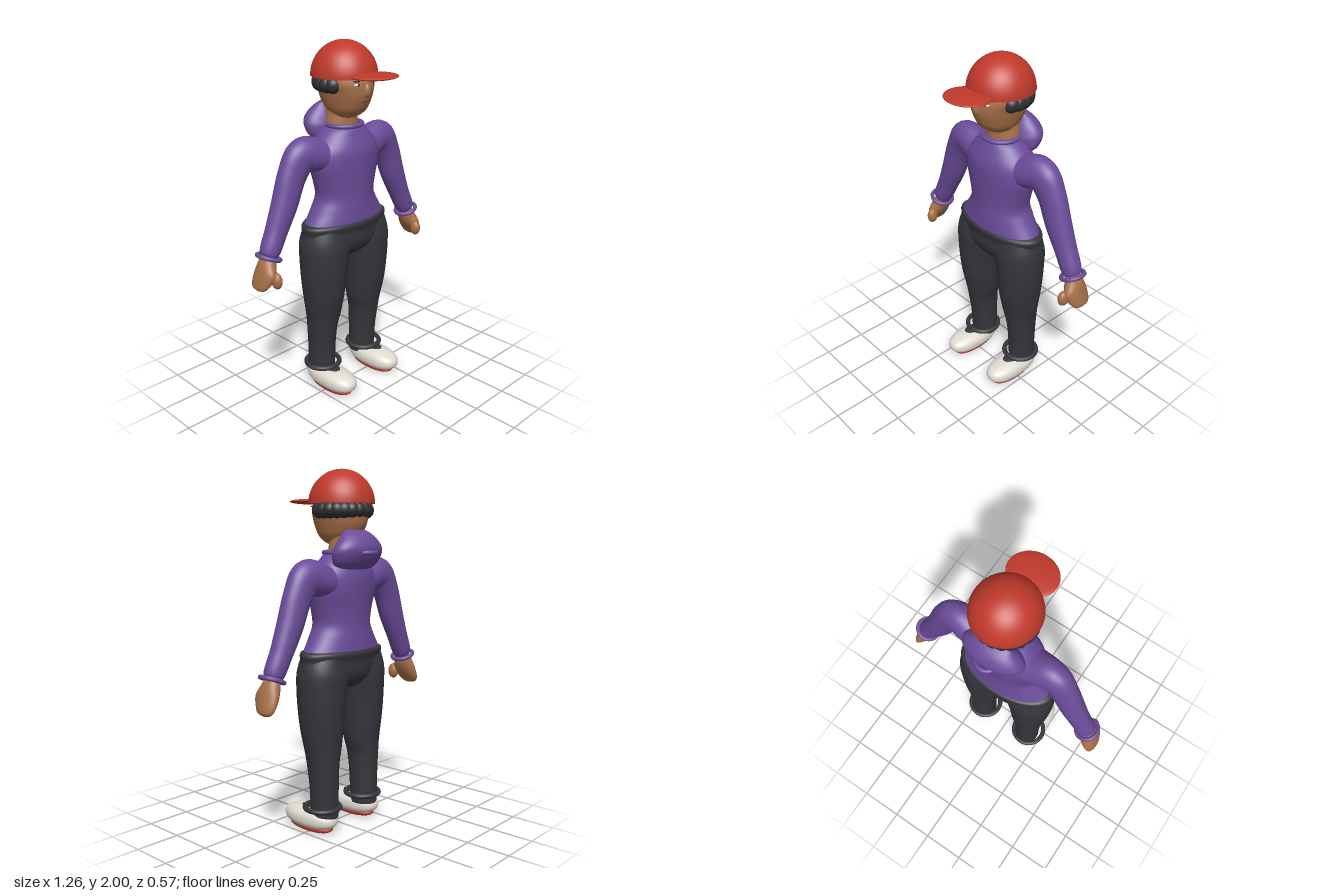
import * as THREE from 'three';

const mat = (name, color) => Object.assign(new THREE.MeshStandardMaterial({ color }), { name });

export function createModel() {
  const purple = mat('purple fabric', 0x6b4c9a);
  const red = mat('red', 0xc0392b);
  const skin = mat('skin', 0xa87048);
  const dark = mat('dark trousers', 0x35353b);
  const hairMat = mat('hair', 0x2f3035);
  const white = mat('off white', 0xe0dcd2);
  const lip = mat('lip', 0x7a4a36);

  const model = new THREE.Group();
  model.name = 'figure';

  const add = (name, geo, material, x = 0, y = 0, z = 0) => {
    const m = new THREE.Mesh(geo, material);
    m.name = name;
    m.position.set(x, y, z);
    model.add(m);
    return m;
  };

  // Smooth skin through oval rings [x, y, z, half width, half depth]; s mirrors x
  const loft = (name, rings, material, s = 1, steps = 48, sides = 40) => {
    const path = new THREE.CatmullRomCurve3(rings.map(r => new THREE.Vector3(r[0] * s, r[1], r[2])), false, 'catmullrom');
    const size = new THREE.CatmullRomCurve3(rings.map(r => new THREE.Vector3(r[3], r[4], 0)), false, 'catmullrom');
    const pos = [], idx = [];
    for (let i = 0; i <= steps; i++) {
      const t = i / steps, c = path.getPoint(t), r = size.getPoint(t), d = path.getTangent(t);
      const len = Math.hypot(d.x, d.y) || 1;
      const a = Math.max(r.x, 0.001), b = Math.max(r.y, 0.001);
      for (let j = 0; j < sides; j++) {
        const q = (j / sides) * Math.PI * 2, u = a * Math.cos(q);
        pos.push(c.x + (d.y / len) * u, c.y - (d.x / len) * u, c.z + b * Math.sin(q));
        if (i === steps) continue;
        const k = i * sides + j, n = i * sides + ((j + 1) % sides);
        idx.push(k, k + sides, n, n, k + sides, n + sides);
      }
    }
    const g = new THREE.BufferGeometry();
    g.setAttribute('position', new THREE.Float32BufferAttribute(pos, 3));
    g.setIndex(idx);
    g.computeVertexNormals();
    return add(name, g, material);
  };

  // Ellipsoid; power below 1 makes it boxier
  const blob = (name, c, r, material, power = 1) => {
    const g = new THREE.SphereGeometry(1, 32, 24), p = g.attributes.position;
    const f = v => Math.sign(v) * Math.abs(v) ** power;
    for (let i = 0; i < p.count; i++) p.setXYZ(i, f(p.getX(i)) * r[0], f(p.getY(i)) * r[1], f(p.getZ(i)) * r[2]);
    g.computeVertexNormals();
    return add(name, g, material, ...c);
  };

  // Horizontal ring, optionally tilted sideways
  const ring = (name, c, radius, tube, material, tilt = 0) =>
    add(name, new THREE.TorusGeometry(radius, tube, 12, 40).rotateX(Math.PI / 2).rotateZ(tilt), material, ...c);

  // Jumper body
  loft('torso', [
    [0, 1.03, -0.057, 0.27, 0.142], [0, 1.10, -0.056, 0.222, 0.138], [0, 1.17, -0.055, 0.188, 0.135],
    [0, 1.26, -0.055, 0.205, 0.137], [0, 1.35, -0.058, 0.23, 0.143], [0, 1.43, -0.06, 0.218, 0.143],
    [0, 1.50, -0.065, 0.165, 0.122], [0, 1.55, -0.065, 0.1, 0.09], [0, 1.555, -0.065, 0.01, 0.01]], purple);
  loft('hood', [
    [0, 1.44, -0.14, 0.01, 0.01], [0, 1.48, -0.15, 0.14, 0.065], [0, 1.54, -0.165, 0.175, 0.09],
    [0, 1.59, -0.175, 0.165, 0.087], [0, 1.64, -0.17, 0.12, 0.065], [0, 1.675, -0.15, 0.075, 0.035],
    [0, 1.682, -0.148, 0.002, 0.002]], purple);
  ring('collar', [0, 1.555, -0.06], 0.1, 0.013, purple);
  ring('hoodLip', [0, 1.555, -0.222], 0.056, 0.012, purple);

  // Trouser top
  loft('hips', [
    [0, 1.031, -0.057, 0.005, 0.005], [0, 1.03, -0.057, 0.27, 0.142], [0, 0.97, -0.057, 0.292, 0.142],
    [0, 0.91, -0.056, 0.295, 0.139], [0, 0.86, -0.056, 0.23, 0.12], [0, 0.82, -0.056, 0.08, 0.08],
    [0, 0.81, -0.056, 0.002, 0.002]], dark);

  for (const s of [1, -1]) {
    const side = s > 0 ? 'left' : 'right';
    loft(side + 'Leg', [
      [0.14, 1.0, -0.057, 0.13, 0.12], [0.154, 0.9, -0.056, 0.148, 0.139], [0.163, 0.8, -0.055, 0.14, 0.136],
      [0.167, 0.7, -0.056, 0.128, 0.131], [0.166, 0.6, -0.058, 0.117, 0.123], [0.165, 0.5, -0.063, 0.104, 0.108],
      [0.17, 0.4, -0.07, 0.083, 0.097], [0.169, 0.27, -0.077, 0.076, 0.086], [0.168, 0.1, -0.08, 0.073, 0.08]], dark, s);
    ring(side + 'TrouserHem', [0.172 * s, 0.15, -0.067], 0.097, 0.014, dark);

    // Shoe with tongue and sole
    blob(side + 'Shoe', [0.178 * s, 0.08, 0.015], [0.086, 0.062, 0.18], white, 0.85);
    blob(side + 'ShoeTongue', [0.178 * s, 0.11, 0.02], [0.055, 0.038, 0.088], dark);
    blob(side + 'Sole', [0.178 * s, 0.03, 0.012], [0.065, 0.03, 0.15], red, 0.9);

    loft(side + 'Sleeve', [
      [0.08, 1.38, -0.07, 0.09, 0.1], [0.19, 1.41, -0.07, 0.09, 0.095], [0.295, 1.425, -0.072, 0.097, 0.078],
      [0.365, 1.33, -0.075, 0.085, 0.067], [0.42, 1.19, -0.075, 0.076, 0.065], [0.48, 1.06, -0.075, 0.064, 0.058],
      [0.54, 0.94, -0.072, 0.052, 0.05], [0.545, 0.93, -0.072, 0.002, 0.002]], purple, s);
    ring(side + 'Cuff', [0.545 * s, 0.925, -0.07], 0.062, 0.012, purple, 0.36 * s);

    loft(side + 'Hand', [
      [0.535, 0.945, -0.073, 0.03, 0.04], [0.555, 0.89, -0.07, 0.042, 0.058], [0.575, 0.84, -0.065, 0.04, 0.076],
      [0.598, 0.79, -0.075, 0.03, 0.066], [0.612, 0.76, -0.08, 0.02, 0.045], [0.617, 0.75, -0.08, 0.002, 0.002]], skin, s);
    blob(side + 'Thumb', [0.555 * s, 0.815, 0.005], [0.026, 0.045, 0.034], skin);

    // Eye and brow
    blob(side + 'Eye', [0.055 * s, 1.786, 0.095], [0.021, 0.009, 0.012], white);
    blob(side + 'Pupil', [0.052 * s, 1.786, 0.103], [0.009, 0.008, 0.007], hairMat);
    blob(side + 'Brow', [0.056 * s, 1.804, 0.097], [0.026, 0.005, 0.011], hairMat);
  }

  // Head
  loft('neck', [[0, 1.5, -0.07, 0.1, 0.08], [0, 1.57, -0.075, 0.096, 0.08], [0, 1.63, -0.08, 0.088, 0.085],
    [0, 1.7, -0.085, 0.09, 0.09]], skin);
  loft('head', [
    [0, 1.585, -0.03, 0.003, 0.003], [0, 1.605, -0.03, 0.065, 0.06], [0, 1.64, -0.04, 0.1, 0.118],
    [0, 1.69, -0.045, 0.119, 0.15], [0, 1.74, -0.045, 0.132, 0.164], [0, 1.8, -0.05, 0.148, 0.164],
    [0, 1.88, -0.055, 0.12, 0.13], [0, 1.93, -0.055, 0.003, 0.003]], skin);
  blob('nose', [0, 1.752, 0.112], [0.022, 0.038, 0.022], skin);
  blob('mouth', [0, 1.697, 0.102], [0.034, 0.006, 0.008], lip);

  // Curls around the back of the head
  for (let i = 0; i <= 13; i++) {
    const a = -0.35 + (i / 13) * (Math.PI + 0.7);
    blob('hairCurl', [Math.cos(a) * 0.13, 1.78, -0.055 - Math.sin(a) * 0.13], [0.045, 0.045, 0.045], hairMat);
  }

  // Cap
  const dome = new THREE.SphereGeometry(0.178, 48, 20, 0, Math.PI * 2, 0, Math.PI / 2).scale(1, 0.185 / 0.178, 1.03);
  add('capDome', dome, red, 0, 1.815, -0.054);
  add('capUnderside', new THREE.CircleGeometry(0.178, 48).rotateX(Math.PI / 2).scale(1, 1, 1.03), red, 0, 1.815, -0.054);
  blob('capBrim', [0, 1.833, 0.168], [0.134, 0.015, 0.117], red);

  return model;
}
